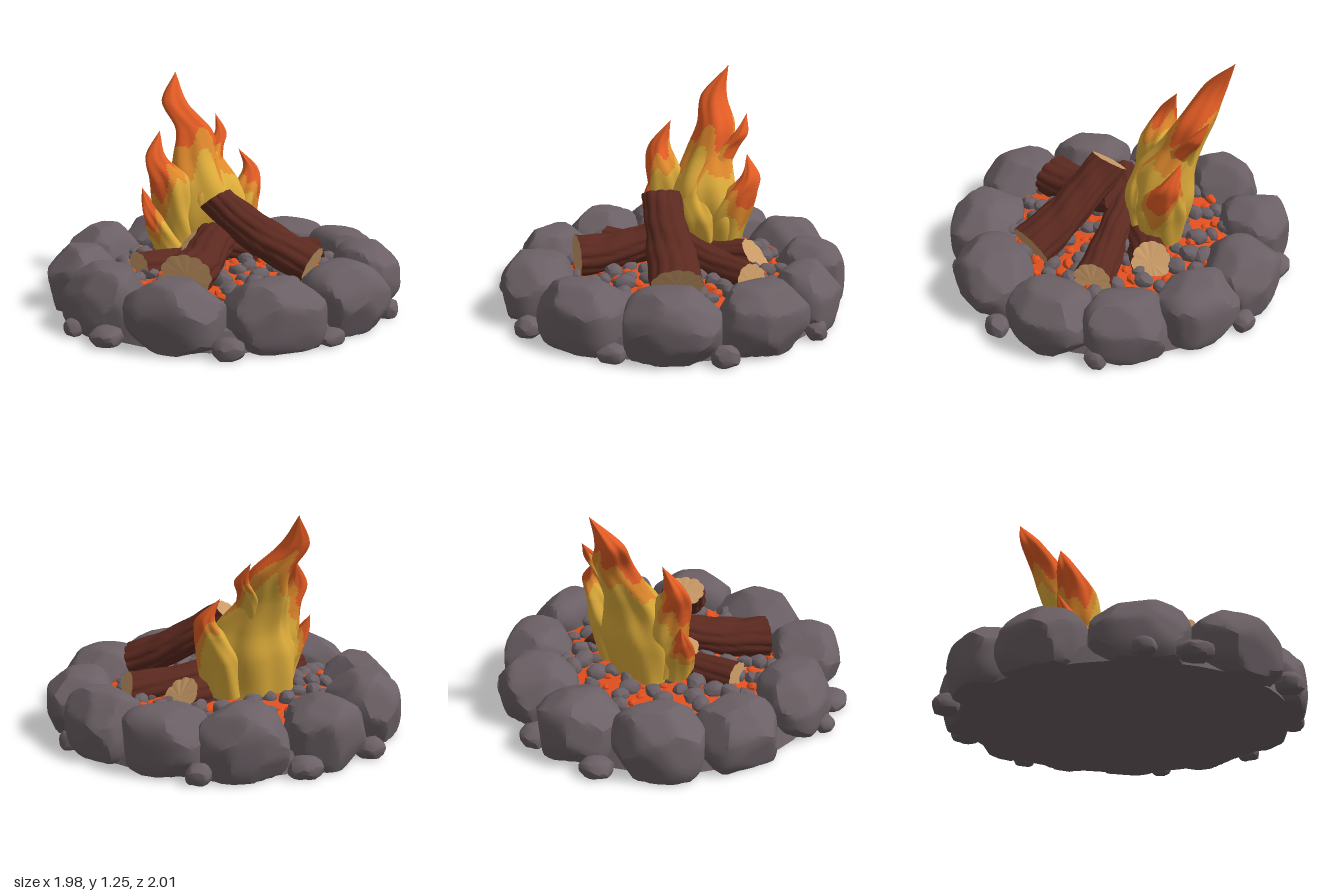
import * as THREE from 'three';
import { toCreasedNormals } from 'three/addons/utils/BufferGeometryUtils.js';

const mat = (name, color) => {
  const m = new THREE.MeshStandardMaterial({ color });
  m.name = name;
  return m;
};

// Small seeded random generator
function seeded(seed) {
  let s = seed * 7919 + 17;
  return () => {
    s = (s * 16807) % 2147483647;
    return s / 2147483647;
  };
}

// Rock: rounded block chiselled by random planes, flat on the ground
function rockGeometry(seed, rx, height, rz, detail) {
  const rnd = seeded(seed);
  for (let i = 0; i < 5; i++) rnd();
  const planes = Array.from({ length: 22 }, () => ({
    n: new THREE.Vector3(rnd() - 0.5, rnd() * 0.9 - 0.35, rnd() - 0.5).normalize(),
    d: 0.94 + rnd() * 0.12,
  }));
  const geo = new THREE.IcosahedronGeometry(1, detail);
  const p = geo.attributes.position;
  const v = new THREE.Vector3();
  const cy = height * 0.42;
  for (let i = 0; i < p.count; i++) {
    v.fromBufferAttribute(p, i).normalize();
    const n = 3.2;
    v.multiplyScalar((Math.abs(v.x) ** n + Math.abs(v.y) ** n + Math.abs(v.z) ** n) ** (-1 / n));
    for (const pl of planes) {
      const k = v.dot(pl.n);
      if (k > pl.d) v.multiplyScalar(pl.d / k);
    }
    p.setXYZ(i, v.x * rx, Math.max(0, cy + v.y * (height - cy)), v.z * rz);
  }
  return toCreasedNormals(geo, 0.45);
}

// Log: cylinder with furrowed bark and slanted sawn ends, running from foot to head
function makeLog(name, foot, head, rFoot, rHead, flat, slantFoot, slantHead, materials) {
  const a = new THREE.Vector3(...foot), b = new THREE.Vector3(...head);
  const len = a.distanceTo(b);
  const geo = new THREE.CylinderGeometry(rHead, rFoot, len, 64, 24);
  geo.rotateX(Math.PI / 2);
  const p = geo.attributes.position;
  for (let i = 0; i < p.count; i++) {
    const x = p.getX(i), y = p.getY(i), z = p.getZ(i);
    const t = z / len + 0.5;
    const th = Math.atan2(y, x);
    const furrow = Math.abs(Math.sin(th * 5.5 + Math.sin(t * 6 + foot[0] * 9) * 0.6));
    const bump = 0.87 + 0.14 * furrow ** 0.4 + 0.04 * Math.sin(th * 2 + t * 7) + 0.03 * Math.sin(t * 19 + th * 3);
    const bow = -0.025 * Math.sin(t * Math.PI);
    const slant = slantFoot * Math.max(0, 1 - t * 2) - slantHead * Math.max(0, t * 2 - 1);
    p.setXYZ(i, x * bump, y * bump * flat + bow, z + y * slant);
  }
  geo.computeVertexNormals();
  const log = new THREE.Mesh(geo, materials);
  log.name = name;
  log.position.copy(a).add(b).multiplyScalar(0.5);
  log.lookAt(b);
  return log;
}

// Flame tongue: horizontal rings [x, y, z, half width, half depth] narrowing to a tip,
// coloured in bands that climb higher at the back and lower on the outer side
function makeTongue(name, rings, yellowTo, amberTo, outer, materials) {
  const path = new THREE.CatmullRomCurve3(rings.map((r) => new THREE.Vector3(r[0], r[1], r[2])));
  const size = new THREE.CatmullRomCurve3(rings.map((r) => new THREE.Vector3(r[3], r[4], 0)));
  const N = 80, S = 56, pos = [], bands = [[], [], []];
  for (let i = 0; i <= N; i++) {
    const t = i / N, c = path.getPoint(t), r = size.getPoint(t);
    for (let j = 0; j < S; j++) {
      const th = (j / S) * Math.PI * 2;
      const fold = 1 + 0.08 * Math.sin(4 * th + 6 * t) + 0.04 * Math.sin(7 * th - 6 * t);
      pos.push(c.x + Math.cos(th) * Math.max(0.001, r.x) * fold, c.y, c.z + Math.sin(th) * Math.max(0.001, r.y) * fold);
    }
  }
  for (let i = 0; i < N; i++) {
    for (let j = 0; j < S; j++) {
      const th = ((j + 0.5) / S) * Math.PI * 2, cx = Math.cos(th), t = i / N;
      const edge = outer ? cx * outer * 0.17 : Math.abs(cx) * 0.1;
      const wave = 0.05 * Math.sin(3 * th + 1) + 0.035 * Math.sin(5 * th + 9 * t);
      const v = t + edge + wave + Math.min(0, Math.sin(th)) * 0.16;
      const band = bands[v < yellowTo ? 0 : v < amberTo ? 1 : 2];
      const a = i * S + j, b = a + S, c = i * S + ((j + 1) % S), d = c + S;
      band.push(a, b, c, b, d, c);
    }
  }
  const geo = new THREE.BufferGeometry();
  geo.setAttribute('position', new THREE.Float32BufferAttribute(pos, 3));
  geo.setIndex(bands.flat());
  let start = 0;
  bands.forEach((band, k) => {
    geo.addGroup(start, band.length, k);
    start += band.length;
  });
  geo.computeVertexNormals();
  const mesh = new THREE.Mesh(geo, materials);
  mesh.name = name;
  return mesh;
}

export function createModel() {
  const model = new THREE.Group();
  model.name = 'campfire';
  const stone = mat('stone grey', 0x6b6065);
  const ember = mat('ember orange', 0xe2501f);
  const bark = mat('bark brown', 0x5b291f);
  const wood = mat('cut wood', 0xc99a66);
  const yellow = mat('flame yellow', 0xdcab3a);
  const amber = mat('flame amber', 0xe0892c);
  const orange = mat('flame orange', 0xe35c24);
  const add = (parent, name, geo, material) => {
    const m = new THREE.Mesh(geo, material);
    m.name = name;
    parent.add(m);
    return m;
  };
  const group = (name) => {
    const g = new THREE.Group();
    g.name = name;
    model.add(g);
    return g;
  };

  // Base slab
  add(model, 'base', new THREE.CylinderGeometry(0.84, 0.88, 0.1, 48).translate(0, 0.05, 0), stone);

  // Ring of boulders: [x, z, half width, half depth, height]
  const ring = group('stoneRing');
  [
    [-0.27, -0.755, 0.225, 0.2, 0.34], [0.18, -0.755, 0.23, 0.21, 0.35], [0.515, -0.565, 0.235, 0.195, 0.33],
    [0.77, -0.25, 0.225, 0.16, 0.34], [0.8, 0.15, 0.245, 0.185, 0.34], [0.565, 0.55, 0.25, 0.2, 0.345],
    [0.13, 0.75, 0.25, 0.21, 0.335], [-0.37, 0.7, 0.255, 0.2, 0.34], [-0.69, 0.35, 0.245, 0.19, 0.34],
    [-0.78, -0.11, 0.22, 0.195, 0.34], [-0.63, -0.49, 0.24, 0.205, 0.36],
  ].forEach(([x, z, w, d, h], i) => {
    const m = add(ring, 'boulder', rockGeometry(i + 3, w, h, d, 8), stone);
    m.position.set(x, 0, z);
    m.rotation.y = Math.atan2(x, z);
  });

  // Pebbles wedged around the outside: [x, z, radius, height]
  [
    [-0.09, -0.93, 0.09, 0.1], [-0.52, -0.8, 0.085, 0.1], [0.44, -0.83, 0.065, 0.1], [0.93, -0.14, 0.06, 0.1],
    [0.83, 0.44, 0.07, 0.1], [0.4, 0.81, 0.075, 0.08], [-0.14, 0.935, 0.08, 0.1], [-0.71, 0.63, 0.09, 0.09],
    [-0.86, 0.44, 0.06, 0.08],
  ].forEach(([x, z, r, h], i) => {
    const m = add(ring, 'pebble', rockGeometry(i + 40, r, h, r * 0.85, 3), stone);
    m.position.set(x, 0, z);
    m.rotation.y = Math.atan2(x, z);
  });

  // Ember bed, slightly domed, strewn with cold coals and glowing lumps
  const bed = group('emberBed');
  const profile = [[0.72, 0.17], [0.55, 0.2], [0.3, 0.235], [0, 0.25]].map((q) => new THREE.Vector2(...q));
  add(bed, 'embers', new THREE.LatheGeometry(profile, 40), ember);
  const rnd = seeded(12);
  const count = 180;
  for (let i = 0; i < count; i++) {
    const cold = i % 2 === 0;
    const r = 0.63 * Math.sqrt((i + 0.5) / count), a = i * 2.39996 + rnd() * 0.2;
    const s = cold ? 0.042 + rnd() * 0.022 : 0.024 + rnd() * 0.016;
    const lump = add(bed, cold ? 'coal' : 'glowingEmber', rockGeometry(i + 90, s, s * 1.3, s * 0.8, cold ? 2 : 1), cold ? stone : ember);
    lump.position.set(Math.cos(a) * r, 0.235 - r * 0.09, Math.sin(a) * r);
    lump.rotation.set(rnd() * 0.5 - 0.25, rnd() * 6, rnd() * 0.5 - 0.25);
  }

  // Crossed logs
  const logs = group('logs');
  const sawn = [bark, wood, wood];
  logs.add(
    makeLog('topLog', [0.42, 0.285, 0.38], [-0.055, 0.61, 0.06], 0.14, 0.11, 0.8, 0.1, 0.35, sawn),
    makeLog('frontLog', [-0.28, 0.295, 0.49], [-0.03, 0.385, 0], 0.138, 0.11, 0.82, 0.15, 0.2, [bark, bark, wood]),
    makeLog('sideLog', [0.58, 0.24, -0.02], [-0.19, 0.355, -0.03], 0.105, 0.09, 0.95, 0.4, 0.7, sawn),
    makeLog('backLog', [-0.49, 0.24, 0.12], [0.36, 0.26, -0.29], 0.1, 0.105, 0.95, 0.1, 0.75, sawn),
  );

  // Flames leaning back
  const flames = group('flames');
  const fire = [yellow, amber, orange];
  const tongue = (...args) => flames.add(makeTongue(...args, fire));
  tongue('mainFlame', [
    [-0.07, 0.24, -0.25, 0.23, 0.13], [-0.05, 0.45, -0.25, 0.25, 0.17], [-0.05, 0.62, -0.27, 0.2, 0.155],
    [-0.09, 0.78, -0.35, 0.14, 0.115], [-0.1, 0.93, -0.42, 0.11, 0.1], [-0.2, 1.09, -0.5, 0.075, 0.065],
    [-0.18, 1.255, -0.6, 0, 0]], 0.51, 0.66, 0);
  tongue('leftFlame', [
    [-0.18, 0.26, -0.19, 0.13, 0.1], [-0.25, 0.5, -0.18, 0.11, 0.12], [-0.28, 0.68, -0.17, 0.11, 0.095],
    [-0.35, 0.81, -0.2, 0.06, 0.055], [-0.32, 0.95, -0.26, 0, 0]], 0.38, 0.52, -1);
  tongue('lowLeftFlame', [
    [-0.24, 0.25, -0.14, 0.11, 0.1], [-0.32, 0.4, -0.15, 0.085, 0.09], [-0.385, 0.51, -0.18, 0.05, 0.05],
    [-0.43, 0.63, -0.22, 0, 0]], 0.36, 0.52, -1);
  tongue('highRightFlame', [
    [0, 0.5, -0.27, 0.1, 0.1], [-0.02, 0.7, -0.33, 0.085, 0.09], [0.02, 0.82, -0.4, 0.055, 0.06],
    [0.07, 0.905, -0.45, 0.036, 0.04], [0.05, 1.01, -0.52, 0, 0]], 0.42, 0.56, 1);
  tongue('lowRightFlame', [
    [0.08, 0.25, -0.27, 0.12, 0.12], [0.13, 0.45, -0.29, 0.12, 0.13], [0.2, 0.6, -0.32, 0.085, 0.1],
    [0.235, 0.7, -0.36, 0.045, 0.055], [0.17, 0.81, -0.4, 0, 0]], 0.42, 0.56, 1);
  tongue('frontFlame', [
    [-0.02, 0.25, -0.17, 0.15, 0.08], [0, 0.45, -0.14, 0.14, 0.08], [-0.03, 0.6, -0.16, 0.09, 0.065],
    [0.01, 0.78, -0.26, 0, 0]], 0.78, 1.1, 0);
  return model;
}
